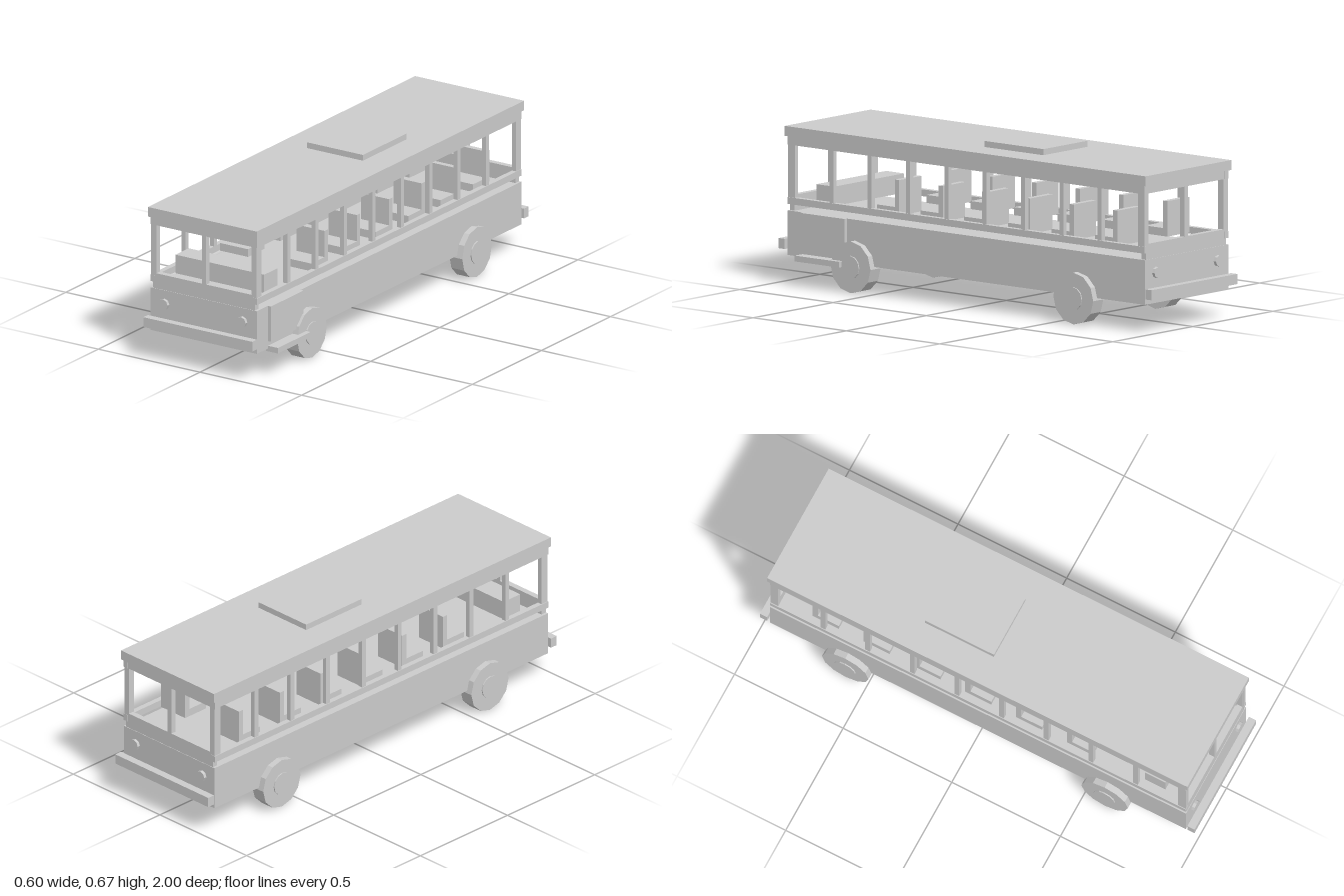
import * as THREE from 'three';

const CX = -0.0105; // centre line of the bus (the step sticks out on one side)

export function createModel() {
  const bus = new THREE.Group();
  bus.name = 'bus';
  const mat = new THREE.MeshStandardMaterial({ color: 0xcccccc, flatShading: true });

  const add = (name, geo, x, y, z) => {
    const mesh = new THREE.Mesh(geo, mat);
    mesh.name = name;
    mesh.position.set(x, y, z);
    bus.add(mesh);
    return mesh;
  };
  // Box from its extents; x is measured from the centre line
  const box = (name, x0, x1, y0, y1, z0, z1) =>
    add(name, new THREE.BoxGeometry(x1 - x0, y1 - y0, z1 - z0),
      CX + (x0 + x1) / 2, (y0 + y1) / 2, (z0 + z1) / 2);
  // Same box on both sides, or at both ends
  const sides = (name, x0, x1, ...r) => {
    box(name, x0, x1, ...r);
    box(name, -x1, -x0, ...r);
  };
  const ends = (name, x0, x1, y0, y1, z0, z1) => {
    box(name, x0, x1, y0, y1, z0, z1);
    box(name, x0, x1, y0, y1, -z1, -z0);
  };

  // Lower body, roof and roof hatch
  box('lowerBody', -0.261, 0.261, 0.116, 0.3, -0.957, 0.957);
  box('roof', -0.268, 0.268, 0.607, 0.648, -0.967, 0.967);
  box('roofHatch', -0.138, 0.138, 0.648, 0.673, -0.308, 0.008);

  // End walls with two windows each
  ends('endPanel', -0.25, 0.25, 0.3, 0.365, 0.93, 0.955);
  ends('windowHeader', -0.25, 0.25, 0.572, 0.607, 0.93, 0.955);
  ends('windowDivider', -0.0105, 0.0105, 0.365, 0.572, 0.93, 0.955);
  for (const s of [-1, 1]) {
    const x0 = s < 0 ? -0.254 : 0.234;
    ends('endPost', x0, x0 + 0.02, 0.365, 0.607, 0.93, 0.955);
  }
  ends('bumper', -0.268, 0.268, 0.14, 0.182, 0.967, 1.0);

  // Side rails and window posts
  sides('sillRail', 0.24, 0.263, 0.327, 0.355, -0.957, 0.957);
  sides('topRail', 0.24, 0.263, 0.572, 0.607, -0.957, 0.957);
  for (let i = 0; i < 8; i++) {
    const z = 0.724 - i * 0.2055;
    sides('windowPost', 0.24, 0.26, 0.355, 0.572, z - 0.011, z + 0.011);
  }
  for (const z of [-0.938, 0.938])
    sides('cornerPost', 0.24, 0.26, 0.355, 0.572, z - 0.018, z + 0.018);

  // Six rows of seats and the dashboard
  for (let i = 0; i < 6; i++) {
    const z = 0.39 - i * 0.234;
    sides('seatCushion', 0.086, 0.225, 0.335, 0.368, z, z + 0.12);
    sides('seatBack', 0.086, 0.225, 0.368, 0.481, z, z + 0.024);
  }
  box('dashboard', -0.218, 0.218, 0.335, 0.415, 0.745, 0.84);

  // Door and entry step
  box('door', 0.261, 0.276, 0.148, 0.3, 0.64, 0.877);
  box('step', 0.252, 0.3105, 0.104, 0.128, 0.64, 0.877);

  // Lamps at both ends
  const lamp = new THREE.CylinderGeometry(0.023, 0.023, 0.02, 8).rotateX(Math.PI / 2);
  for (const s of [-1, 1])
    for (const e of [-1, 1])
      add(e > 0 ? 'headlight' : 'tailLight', lamp, CX + s * 0.192, 0.242, e * 0.96);

  // Wheels with hubs
  const tyre = new THREE.CylinderGeometry(0.107, 0.107, 0.063, 12).rotateZ(Math.PI / 2);
  const hub = new THREE.CylinderGeometry(0.048, 0.048, 0.02, 12).rotateZ(Math.PI / 2);
  for (const z of [0.597, -0.597])
    for (const s of [-1, 1]) {
      add('wheel', tyre, CX + s * 0.2565, 0.107, z);
      add('hub', hub, CX + s * 0.283, 0.107, z);
    }

  return bus;
}
